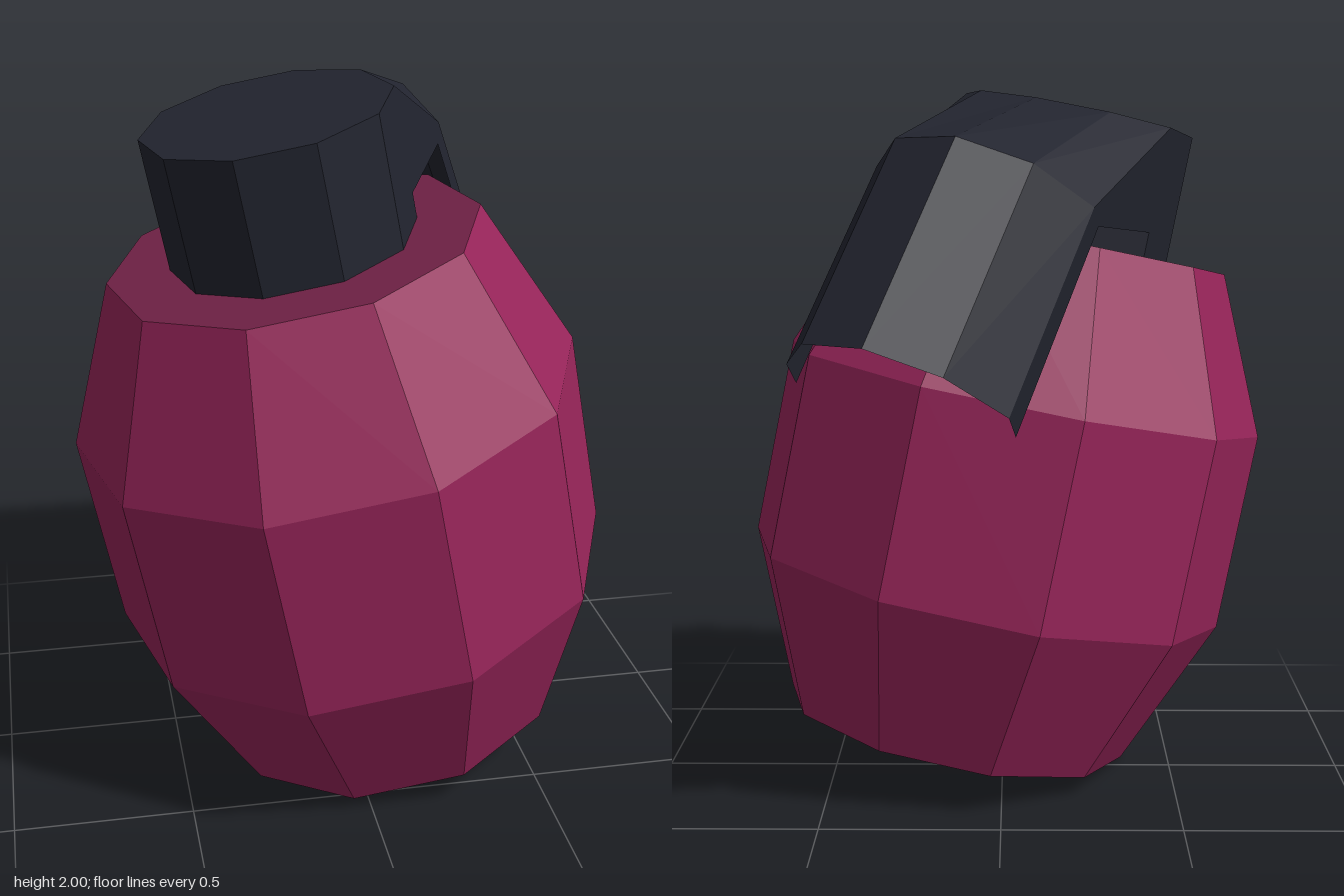
import * as THREE from 'three';

const SIDES = 10;

export function createModel() {
  const berry = new THREE.MeshStandardMaterial({ color: 0x98255a, flatShading: true });
  const plum = new THREE.MeshStandardMaterial({ color: 0x702246, flatShading: true });
  const charcoal = new THREE.MeshStandardMaterial({ color: 0x22242f, flatShading: true, side: THREE.DoubleSide });
  berry.name = 'berry';
  plum.name = 'plum';
  charcoal.name = 'charcoal';

  const model = new THREE.Group();
  model.name = 'model';

  // Leaning group: local y is the body axis, local -z the direction of the lever
  const leaning = new THREE.Group();
  leaning.name = 'leaningBody';
  const up = new THREE.Vector3(-0.198, 0.978, 0.067).normalize();
  const back = new THREE.Vector3(-0.38, -0.14, 0.914);
  const side = new THREE.Vector3().crossVectors(up, back).normalize();
  back.crossVectors(side, up).normalize();
  leaning.quaternion.setFromRotationMatrix(new THREE.Matrix4().makeBasis(side, up, back));
  leaning.position.set(0.145, 0.11, 0.1);
  model.add(leaning);

  const add = (name, geometry, material, y = 0) => {
    const mesh = new THREE.Mesh(geometry, material);
    mesh.name = name;
    mesh.position.y = y;
    leaning.add(mesh);
    return mesh;
  };

  // Barrel wall and its two flat ends
  const profile = [[0.515, 0], [0.713, 0.455], [0.713, 1.04], [0.515, 1.49]];
  add('barrel', new THREE.LatheGeometry(profile.map(p => new THREE.Vector2(...p)), SIDES), berry);
  const disc = () => new THREE.CircleGeometry(0.515, SIDES, Math.PI / 2);
  add('barrelTop', disc().rotateX(-Math.PI / 2), plum, 1.49);
  add('barrelBottom', disc().rotateX(Math.PI / 2), plum);

  // Head on top of the barrel
  const headRadius = 0.34, headTop = 1.862;
  add('head', new THREE.CylinderGeometry(headRadius, headRadius, 0.38, SIDES), charcoal, headTop - 0.19);

  // Lever: an open channel whose section follows the back half of the head
  const angles = [72, 36, 0, -36, -72].map(THREE.MathUtils.degToRad);
  const section = (reach, drop, curveIn, curveDown, lipIn, lipDown) => {
    const ring = angles.map(a => {
      const k = 1 - Math.cos(a);
      return [headRadius * Math.sin(a), -drop - curveDown * k, -(reach - curveIn * k)];
    });
    const lip = ([x, y, z]) => [x, y - lipDown, z + lipIn];
    return [lip(ring[0]), ...ring, lip(ring[4])];
  };
  const sections = [
    section(headRadius, 0, headRadius, 0, 0, 0.3),
    section(0.8, 0.172, 0.325, 0.149, 0.06, 0.045),
    section(1.085, 0.73, 0.325, 0.149, 0.07, 0.05),
  ];
  const n = sections[0].length, index = [];
  for (let s = 0; s < sections.length - 1; s++) {
    for (let i = 0; i < n - 1; i++) {
      const a = s * n + i, b = a + 1, c = a + n, d = c + 1;
      index.push(a, c, b, b, c, d);
    }
  }
  const leverGeometry = new THREE.BufferGeometry();
  leverGeometry.setAttribute('position', new THREE.Float32BufferAttribute(sections.flat(2), 3));
  leverGeometry.setIndex(index);
  leverGeometry.computeVertexNormals();
  add('lever', leverGeometry, charcoal, headTop);

  return model;
}
